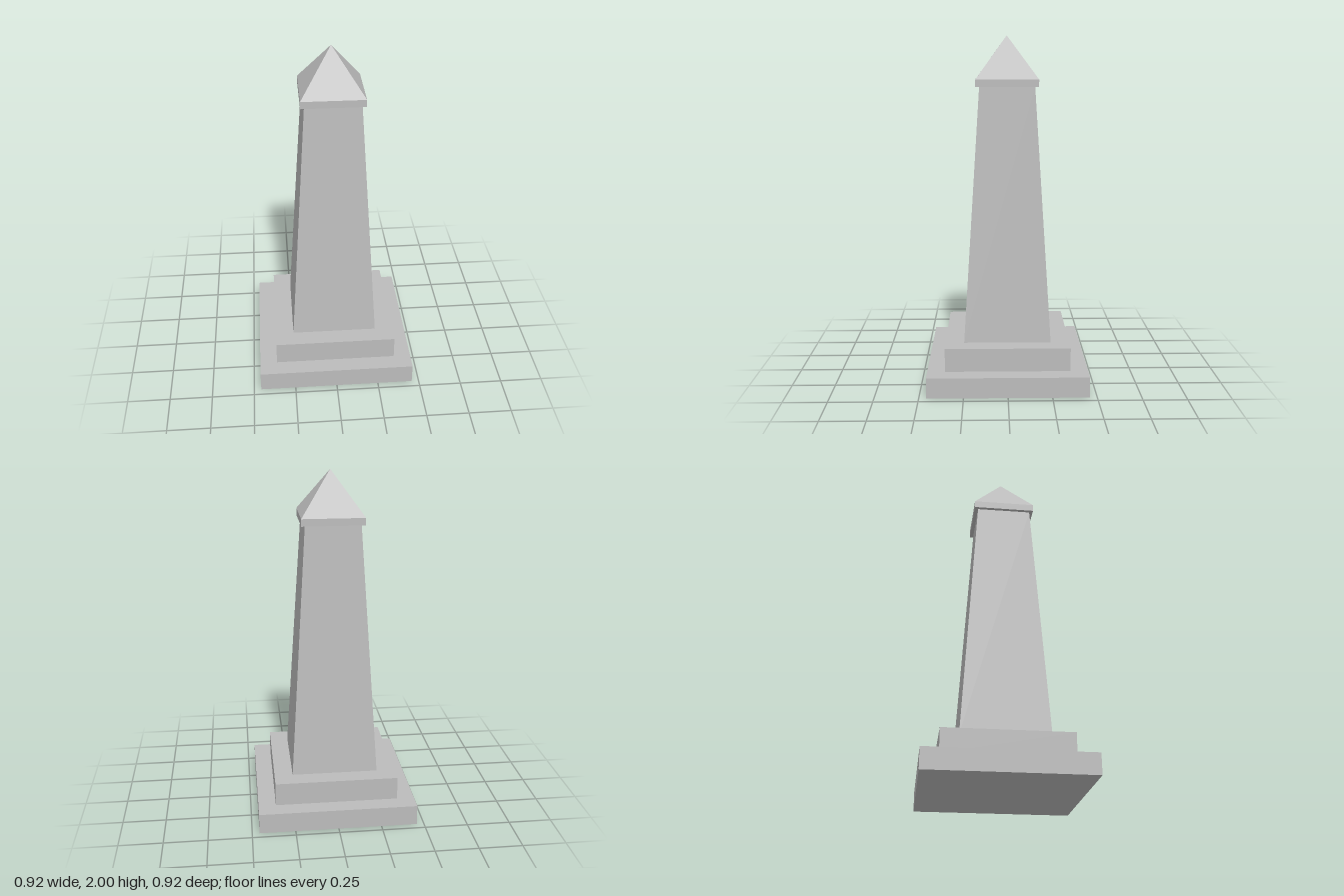
import * as THREE from 'three';

const stone = new THREE.MeshStandardMaterial({ color: 0xbcbcbc });
stone.name = 'stone grey';

// Square tapered block from y0 to y1, given half-widths at bottom and top
function squareBlock(name, y0, y1, bottomHalf, topHalf) {
  const r = Math.SQRT2;
  const cyl = new THREE.CylinderGeometry(topHalf * r, bottomHalf * r, y1 - y0, 4);
  cyl.rotateY(Math.PI / 4);
  cyl.translate(0, (y0 + y1) / 2, 0);
  const geometry = cyl.toNonIndexed(); // one flat normal per face
  geometry.computeVertexNormals();
  const mesh = new THREE.Mesh(geometry, stone);
  mesh.name = name;
  return mesh;
}

export function createModel() {
  const obelisk = new THREE.Group();
  obelisk.name = 'obelisk';
  obelisk.add(
    // Two-step base
    squareBlock('lowerStep', 0, 0.118, 0.458, 0.458),
    squareBlock('upperStep', 0.118, 0.253, 0.357, 0.357),
    // Tapered shaft
    squareBlock('shaft', 0.253, 1.714, 0.25, 0.157),
    // Overhanging collar and pointed cap
    squareBlock('collar', 1.714, 1.755, 0.178, 0.178),
    squareBlock('pyramidCap', 1.755, 2, 0.178, 0),
  );
  return obelisk;
}
